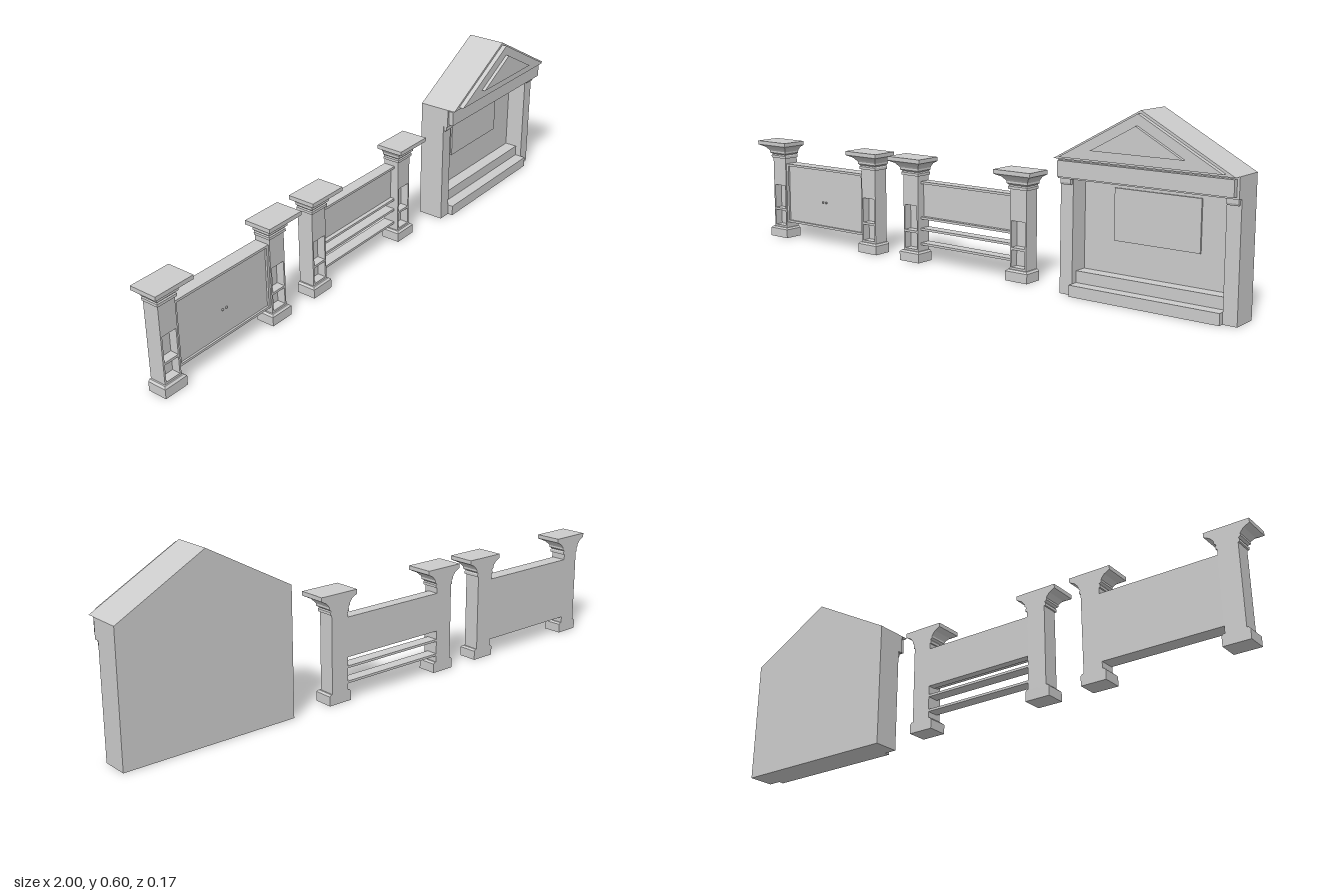
import * as THREE from 'three';

const BACK = -0.082;
const material = new THREE.MeshStandardMaterial({ color: 0xcccccc, flatShading: true });

function add(parent, name, geometry) {
  const mesh = new THREE.Mesh(geometry, material);
  mesh.name = name;
  parent.add(mesh);
  return mesh;
}

// Box given by its limits on each axis
function block(parent, name, x0, x1, y0, y1, z0, z1) {
  const mesh = add(parent, name, new THREE.BoxGeometry(x1 - x0, y1 - y0, z1 - z0));
  mesh.position.set((x0 + x1) / 2, (y0 + y1) / 2, (z0 + z1) / 2);
  return mesh;
}

// Flat outline pushed from z0 to z1
function slab(parent, name, points, z0, z1) {
  const shape = new THREE.Shape(points.map(([x, y]) => new THREE.Vector2(x, y)));
  const mesh = add(parent, name, new THREE.ExtrudeGeometry(shape, { depth: z1 - z0, bevelEnabled: false }));
  mesh.position.z = z0;
  return mesh;
}

// Moulding of [half width, height] steps: grows to the sides and front, flat at the back
function moulding(profile) {
  const rings = profile.map(([w, y]) => [
    [-w, y, w - 0.057], [w, y, w - 0.057], [w, y, BACK], [-w, y, BACK],
  ]);
  const out = [];
  const quad = (a, b, c, d) => out.push(...a, ...b, ...c, ...a, ...c, ...d);
  for (let r = 0; r < rings.length - 1; r++) {
    const lo = rings[r], hi = rings[r + 1];
    for (let i = 0; i < 4; i++) {
      const j = (i + 1) % 4;
      quad(lo[i], lo[j], hi[j], hi[i]);
    }
  }
  const bottom = rings[0], top = rings[rings.length - 1];
  quad(top[0], top[1], top[2], top[3]);
  quad(bottom[3], bottom[2], bottom[1], bottom[0]);
  const geometry = new THREE.BufferGeometry();
  geometry.setAttribute('position', new THREE.Float32BufferAttribute(out, 3));
  geometry.computeVertexNormals();
  return geometry;
}

function createPost(x) {
  const post = new THREE.Group();
  post.name = 'post';
  post.position.x = x;
  const w = 0.033, front = -0.024, niche = -0.054;
  add(post, 'postBase', moulding([[0.044, 0], [0.044, 0.032], [0.038, 0.038]]));
  // Shaft with a shelved niche in its front
  block(post, 'shaftBack', -w, w, 0.037, 0.31, BACK, niche);
  block(post, 'shaftTop', -w, w, 0.2, 0.31, niche, front);
  block(post, 'shaftFoot', -w, w, 0.037, 0.045, niche, front);
  for (const s of [-1, 1]) {
    const a = s * w, b = s * (w - 0.006);
    block(post, 'shaftJamb', Math.min(a, b), Math.max(a, b), 0.045, 0.2, niche, front);
  }
  block(post, 'nicheShelf', -w + 0.006, w - 0.006, 0.103, 0.111, niche, front);
  add(post, 'postCapital', moulding([
    [0.038, 0.305], [0.038, 0.314], [0.035, 0.318], [0.042, 0.324], [0.042, 0.331],
    [0.046, 0.337], [0.054, 0.346], [0.068, 0.353], [0.073, 0.356], [0.073, 0.37],
  ]));
  return post;
}

// Two posts with room for an infill between them
function createBay(name, x) {
  const bay = new THREE.Group();
  bay.name = name;
  bay.position.x = x;
  for (const s of [-1, 1]) bay.add(createPost(s * 0.232));
  return bay;
}

function createPanelBay() {
  const bay = createBay('panelBay', -0.696);
  const w = 0.2, front = -0.029;
  block(bay, 'panel', -w, w, 0.06, 0.285, BACK, -0.036);
  // Raised rim
  for (const y of [0.06, 0.277]) block(bay, 'panelRail', -w, w, y, y + 0.008, -0.036, front);
  for (const x of [-w, w - 0.01]) block(bay, 'panelStile', x, x + 0.01, 0.068, 0.277, -0.036, front);
  // Pair of small knobs
  for (const x of [-0.008, 0.008]) {
    const knob = add(bay, 'knob', new THREE.SphereGeometry(0.004, 8, 6));
    knob.position.set(x, 0.157, -0.032);
  }
  return bay;
}

function createShelfBay() {
  const bay = createBay('shelfBay', -0.03);
  const w = 0.2;
  block(bay, 'backPanel', -w, w, 0.15, 0.285, BACK, -0.055);
  for (const y of [0.277, 0.152, 0.112, 0.06]) {
    block(bay, 'shelf', -w, w, y, y + 0.008, BACK, -0.04);
  }
  return bay;
}

function createPavilion() {
  const house = new THREE.Group();
  house.name = 'pavilion';
  house.position.x = 0.695;
  const w = 0.304, inner = 0.258, wall = -0.058;
  const gable = (half, y0, y1) => [[-half, y0], [half, y0], [0, y1]];

  // Recessed wall between two piers
  block(house, 'backWall', -w, w, 0, 0.37, BACK, wall);
  block(house, 'wallPanel', -0.148, 0.148, 0.18, 0.345, wall, wall + 0.006);
  for (const s of [-1, 1]) {
    const x0 = s > 0 ? inner : -w, x1 = s > 0 ? w : -inner;
    block(house, 'pier', x0, x1, 0, 0.37, wall, 0.011);
    // Small tapered bracket under the beam
    const bracket = slab(house, 'pierBracket',
      [[-0.011, 0.37], [-0.011, 0.352], [-0.018, 0.35], [-0.021, 0.357], [-0.021, 0.37]].reverse(),
      0, x1 - x0 - 0.008);
    bracket.rotation.y = Math.PI / 2;
    bracket.position.x = x0 + 0.004;
  }

  // Steps
  block(house, 'lowerStep', -inner, inner, 0, 0.037, wall, 0.03);
  block(house, 'upperStep', -inner, inner, 0.037, 0.075, wall, -0.012);

  // Beam and raised frieze
  block(house, 'beam', -w, w, 0.37, 0.435, BACK, 0.028);
  block(house, 'frieze', -w + 0.008, w - 0.008, 0.377, 0.428, 0.028, 0.045);

  // Roof and stepped pediment
  slab(house, 'roof', gable(w, 0.435, 0.602), BACK, 0.055);
  slab(house, 'pediment', gable(0.274, 0.443, 0.593), 0.055, 0.072);
  slab(house, 'pedimentPanel', gable(0.155, 0.473, 0.558), 0.072, 0.084);
  return house;
}

export function createModel() {
  const model = new THREE.Group();
  model.name = 'fenceAndPavilionSet';
  model.add(createPanelBay(), createShelfBay(), createPavilion());
  return model;
}
